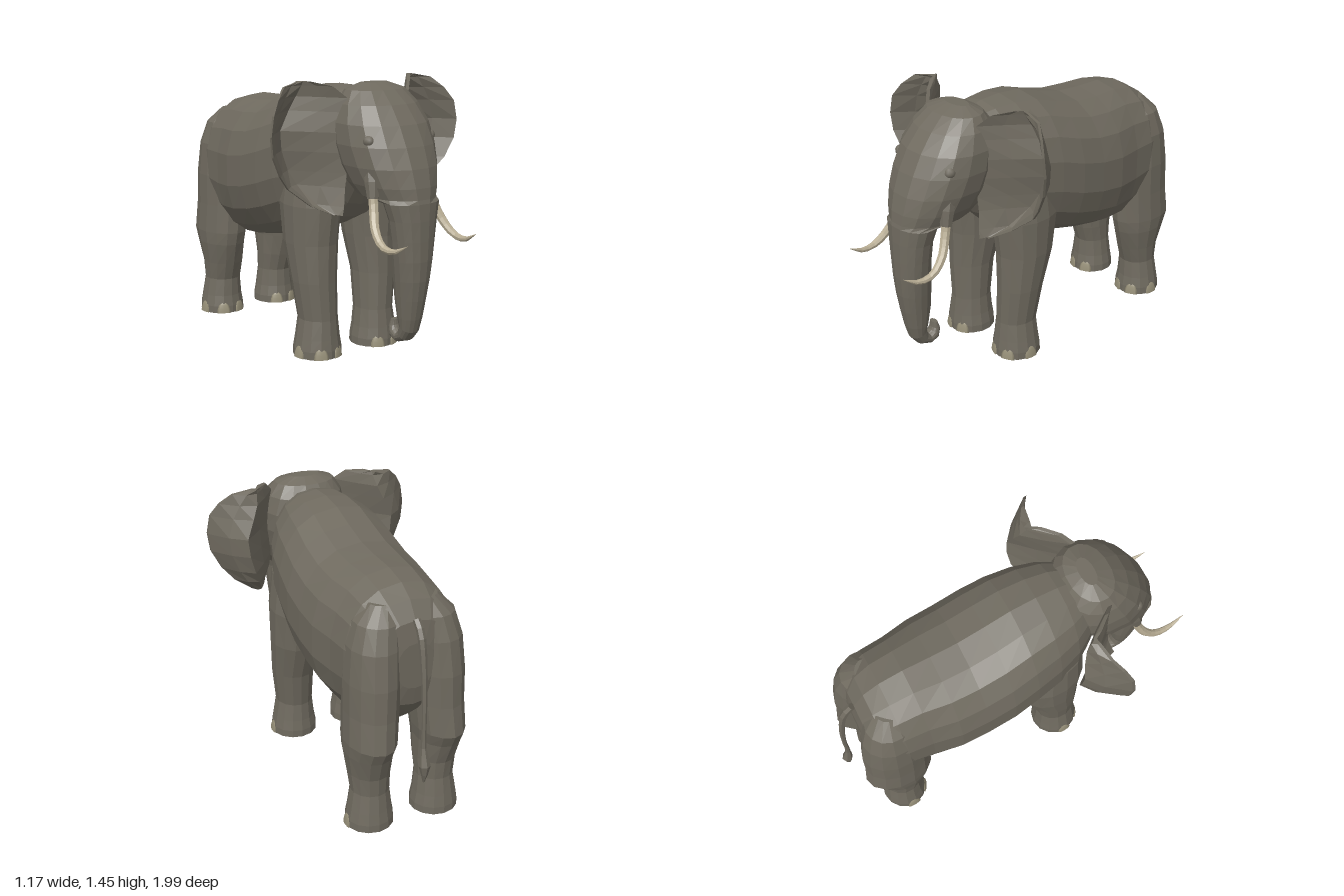
import * as THREE from 'three';

const skin = new THREE.MeshStandardMaterial({ color: 0x6f6a5f });
skin.name = 'greySkin';
const ivory = new THREE.MeshStandardMaterial({ color: 0xb9ae95 });
ivory.name = 'ivory';
const nail = new THREE.MeshStandardMaterial({ color: 0x979079 });
nail.name = 'toenail';

const V = (x, y, z) => new THREE.Vector3(x, y, z);

// Joins closed rings of points into a capped, faceted, outward-facing solid; s = -1 mirrors in x
function loft(name, rings, material, s = 1) {
  const tris = [];
  const n = rings[0].length;
  for (let i = 0; i < rings.length - 1; i++) {
    const a = rings[i], b = rings[i + 1];
    for (let j = 0; j < n; j++) {
      const k = (j + 1) % n;
      tris.push([a[j], a[k], b[k]], [a[j], b[k], b[j]]);
    }
  }
  const middle = (r) => r.reduce((m, p) => m.add(p), V(0, 0, 0)).divideScalar(n);
  const first = rings[0], last = rings[rings.length - 1];
  const m0 = middle(first), m1 = middle(last);
  for (let j = 0; j < n; j++) {
    const k = (j + 1) % n;
    tris.push([m0, first[k], first[j]], [m1, last[j], last[k]]);
  }
  let volume = 0;
  for (const [a, b, c] of tris) volume += a.dot(b.clone().cross(c));
  const flip = volume * s < 0;
  const pos = [];
  for (const [a, b, c] of tris) {
    for (const p of flip ? [a, c, b] : [a, b, c]) pos.push(p.x * s, p.y, p.z);
  }
  const geometry = new THREE.BufferGeometry();
  geometry.setAttribute('position', new THREE.Float32BufferAttribute(pos, 3));
  geometry.computeVertexNormals();
  const mesh = new THREE.Mesh(geometry, material);
  mesh.name = name;
  return mesh;
}

// Oval ring around centre c with half axes u and v; power < 1 makes it boxier
function ring(c, u, v, sides, power = 1) {
  const bend = (t) => Math.sign(t) * Math.pow(Math.abs(t), power);
  return Array.from({ length: sides }, (_, j) => {
    const t = ((j + 0.5) / sides) * Math.PI * 2;
    return c.clone().addScaledVector(u, bend(Math.cos(t))).addScaledVector(v, bend(Math.sin(t)));
  });
}

// Round rings of changing radius along a smooth path
function tube(points, radii, steps, sides) {
  const curve = new THREE.CatmullRomCurve3(points.map((p) => V(...p)));
  const frames = curve.computeFrenetFrames(steps);
  return Array.from({ length: steps + 1 }, (_, i) => {
    const f = (i / steps) * (radii.length - 1);
    const k = Math.min(Math.floor(f), radii.length - 2);
    const r = THREE.MathUtils.lerp(radii[k], radii[k + 1], f - k);
    return ring(curve.getPointAt(i / steps), frames.normals[i].clone().multiplyScalar(r),
      frames.binormals[i].clone().multiplyScalar(r), sides);
  });
}

// Body stations: z, top, bottom, half width
const BODY = [
  [0.45, 1.36, 0.95, 0.17], [0.37, 1.385, 0.8, 0.225], [0.3, 1.4, 0.72, 0.27], [0.18, 1.405, 0.66, 0.31],
  [0.04, 1.39, 0.615, 0.335], [-0.1, 1.345, 0.565, 0.35], [-0.25, 1.305, 0.525, 0.35],
  [-0.4, 1.293, 0.495, 0.345], [-0.55, 1.29, 0.48, 0.315], [-0.68, 1.265, 0.52, 0.305],
  [-0.77, 1.215, 0.6, 0.28], [-0.83, 1.13, 0.68, 0.21], [-0.85, 1.02, 0.78, 0.1],
];

// Head and trunk stations: outer y, outer z, inner y, inner z, half width
const HEAD = [
  [1.435, 0.5, 1.435, 0.42, 0.08], [1.405, 0.585, 1.405, 0.36, 0.165], [1.34, 0.665, 1.34, 0.31, 0.21],
  [1.25, 0.74, 1.25, 0.29, 0.24], [1.15, 0.795, 1.15, 0.29, 0.245], [1.05, 0.835, 1.05, 0.32, 0.23],
  [0.96, 0.858, 0.96, 0.37, 0.2], [0.905, 0.865, 0.9, 0.43, 0.17], [0.885, 0.868, 0.885, 0.66, 0.15],
  [0.8, 0.872, 0.8, 0.685, 0.127], [0.7, 0.873, 0.7, 0.69, 0.112], [0.6, 0.872, 0.6, 0.69, 0.1],
  [0.5, 0.865, 0.5, 0.69, 0.088], [0.4, 0.85, 0.4, 0.693, 0.075], [0.3, 0.83, 0.3, 0.71, 0.062],
  [0.23, 0.81, 0.26, 0.722, 0.052], [0.18, 0.77, 0.225, 0.713, 0.046], [0.155, 0.7, 0.21, 0.7, 0.042],
  [0.172, 0.645, 0.222, 0.682, 0.038], [0.22, 0.628, 0.236, 0.675, 0.032], [0.265, 0.642, 0.265, 0.67, 0.025],
];

// Leg stations: y, centre x, centre z, half width, half depth
const FRONT_LEG = [
  [0, 0.185, 0.24, 0.128, 0.13], [0.04, 0.185, 0.24, 0.127, 0.13], [0.1, 0.185, 0.24, 0.116, 0.122],
  [0.2, 0.182, 0.238, 0.102, 0.113], [0.4, 0.193, 0.22, 0.115, 0.13], [0.6, 0.19, 0.185, 0.132, 0.165],
  [0.8, 0.185, 0.175, 0.14, 0.195], [1.0, 0.17, 0.18, 0.13, 0.185], [1.15, 0.13, 0.18, 0.1, 0.14],
];
const HIND_LEG = [
  [0, 0.185, -0.742, 0.126, 0.123], [0.04, 0.185, -0.742, 0.125, 0.122], [0.1, 0.185, -0.742, 0.114, 0.113],
  [0.2, 0.182, -0.737, 0.1, 0.104], [0.3, 0.185, -0.725, 0.107, 0.125], [0.42, 0.193, -0.727, 0.118, 0.165],
  [0.49, 0.19, -0.737, 0.126, 0.19], [0.65, 0.18, -0.725, 0.13, 0.183], [0.82, 0.175, -0.72, 0.135, 0.182],
  [1.0, 0.165, -0.715, 0.132, 0.16], [1.12, 0.145, -0.71, 0.115, 0.125], [1.2, 0.11, -0.7, 0.07, 0.06],
];

// Ear rows: y, then x and z of the root, the fold and the rim
const EAR = [
  [1.445, 0.31, 0.36, 0.335, 0.32, 0.36, 0.325], [1.425, 0.24, 0.44, 0.337, 0.31, 0.46, 0.345],
  [1.37, 0.19, 0.49, 0.35, 0.28, 0.52, 0.385], [1.3, 0.19, 0.5, 0.38, 0.26, 0.565, 0.415],
  [1.2, 0.2, 0.5, 0.42, 0.245, 0.583, 0.42], [1.1, 0.2, 0.5, 0.41, 0.24, 0.57, 0.415],
  [1.0, 0.2, 0.5, 0.38, 0.25, 0.52, 0.4], [0.93, 0.21, 0.5, 0.35, 0.285, 0.46, 0.375],
  [0.84, 0.23, 0.52, 0.3, 0.385, 0.35, 0.41], [0.8, 0.245, 0.53, 0.26, 0.49, 0.275, 0.5],
];

function makeLeg(name, rows, s) {
  const leg = new THREE.Group();
  leg.name = name;
  leg.add(loft('legSkin', rows.map(([y, x, z, rx, rz]) => ring(V(x, y, z), V(rx, 0, 0), V(0, 0, rz), 14)), skin, s));
  // Toenails around the front and outer side of the foot
  const [, x, z, rx, rz] = rows[0];
  for (const angle of [-0.45, 0.45, 1.5]) {
    const toe = new THREE.Mesh(new THREE.SphereGeometry(1, 8, 4, 0, Math.PI * 2, 0, Math.PI / 2), nail);
    toe.name = 'toenail';
    toe.scale.set(0.039, 0.064, 0.009);
    toe.position.set(s * (x + Math.sin(angle) * rx * 0.975), 0, z + Math.cos(angle) * rz * 0.975);
    toe.rotation.set(-0.09, s * angle, 0, 'YXZ');
    leg.add(toe);
  }
  return leg;
}

function makeEar(s) {
  const rings = EAR.map(([y, x0, z0, x1, z1, x2, z2]) => {
    const m = [(x0 + x1) / 2, (z0 + z1) / 2 - 0.005], o = [(x1 + x2) / 2, (z1 + z2) / 2 - 0.015];
    const line = [[x0, z0], m, [x1, z1], o, [x2, z2]];
    const front = line.map(([x, z]) => V(x, y, z + 0.012));
    const back = line.map(([x, z], i) => V(x, y, z - [0.012, 0.012, 0.006, 0.012, 0.004][i]));
    return [...front, ...back.reverse()];
  });
  return loft('ear', rings, skin, s);
}

export function createModel() {
  const model = new THREE.Group();
  model.name = 'elephant';

  model.add(loft('body', BODY.map(([z, top, low, w]) =>
    ring(V(0, (top + low) / 2, z), V(w, 0, 0), V(0, (top - low) / 2, 0), 18, 0.88)), skin));

  model.add(loft('headAndTrunk', HEAD.map(([y0, z0, y1, z1, w]) =>
    ring(V(0, (y0 + y1) / 2, (z0 + z1) / 2), V(w, 0, 0), V(0, (y0 - y1) / 2, (z0 - z1) / 2), 16, 0.92)), skin));

  // Tail with a tapered tuft
  model.add(loft('tail', tube(
    [[0, 1.14, -0.84], [0, 1.09, -0.885], [0, 0.92, -0.925], [0, 0.7, -0.945], [0, 0.5, -0.95], [0, 0.38, -0.968], [0, 0.31, -0.962]],
    [0.02, 0.02, 0.018, 0.016, 0.014, 0.012, 0.012, 0.014, 0.03, 0.005], 18, 6), skin));

  for (const s of [1, -1]) {
    model.add(makeLeg('frontLeg', FRONT_LEG, s), makeLeg('hindLeg', HIND_LEG, s), makeEar(s));

    // Tusk and the skin sheath it grows from
    model.add(loft('tusk', tube(
      [[0.178, 0.96, 0.69], [0.185, 0.86, 0.71], [0.21, 0.765, 0.755], [0.225, 0.7, 0.83], [0.223, 0.692, 0.91], [0.212, 0.735, 0.998]],
      [0.024, 0.024, 0.023, 0.02, 0.014, 0.001], 12, 8), ivory, s));
    model.add(loft('tuskSheath', tube(
      [[0.165, 1.06, 0.665], [0.172, 0.98, 0.685], [0.182, 0.905, 0.7]], [0.04, 0.042, 0.03], 4, 8), skin, s));

    const eye = new THREE.Mesh(new THREE.IcosahedronGeometry(0.03, 1), skin);
    eye.name = 'eye';
    eye.position.set(s * 0.187, 1.18, 0.67);
    model.add(eye);
  }
  return model;
}
